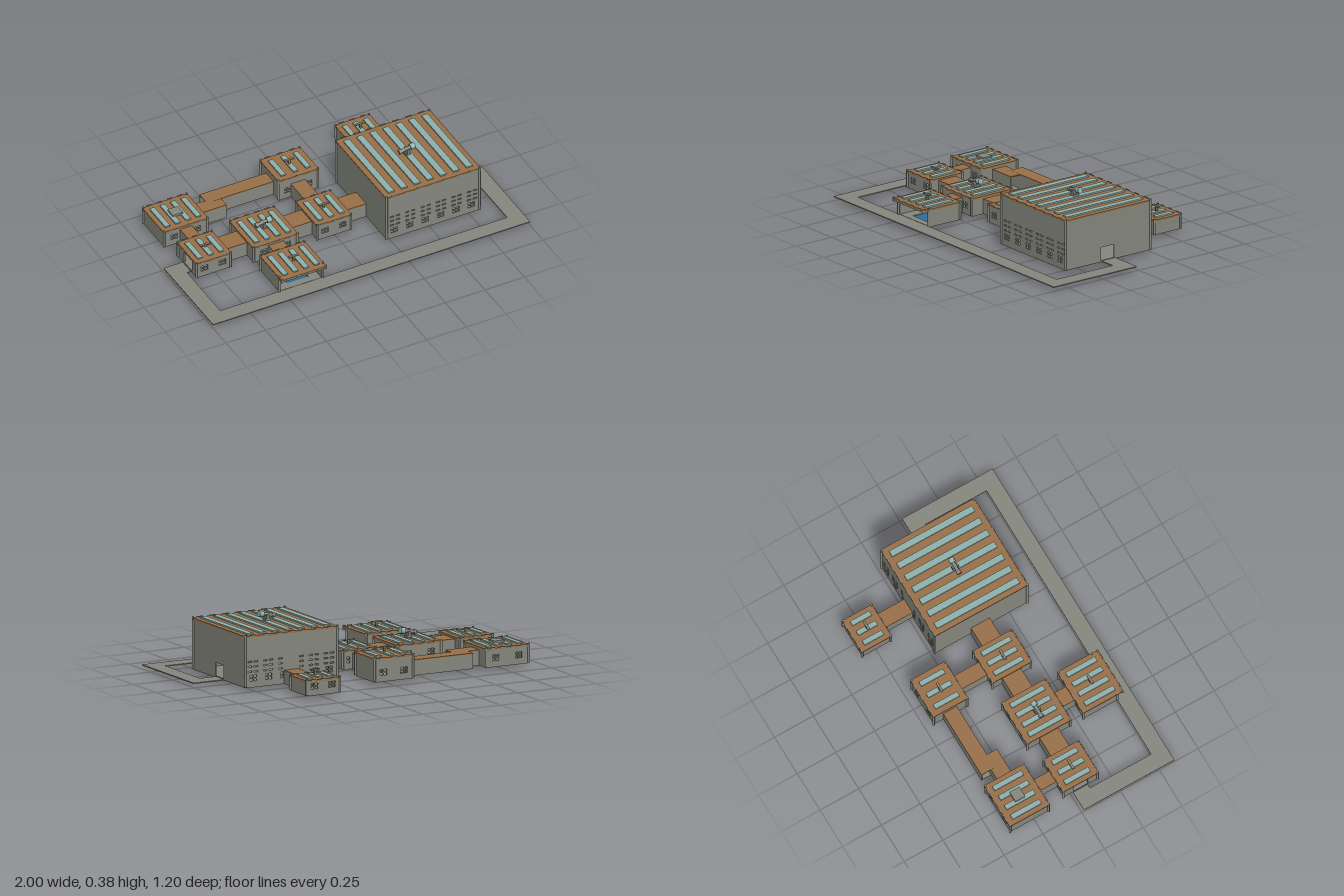
import * as THREE from 'three';

const mat = (color) => new THREE.MeshStandardMaterial({ color, side: THREE.DoubleSide });
const GREY = mat(0x878980), BROWN = mat(0x9a7049), TEAL = mat(0x8fb2b0), BLUE = mat(0x2f6f9a);
const BASE = 0.025, T = 0.008;

function add(parent, name, geo, material, x = 0, y = 0, z = 0) {
  const m = new THREE.Mesh(geo, material);
  m.name = name;
  m.position.set(x, y, z);
  parent.add(m);
  return m;
}

// box given by its limits
function box(parent, name, material, x0, x1, y0, y1, z0, z1) {
  return add(parent, name, new THREE.BoxGeometry(x1 - x0, y1 - y0, z1 - z0), material,
    (x0 + x1) / 2, (y0 + y1) / 2, (z0 + z1) / 2);
}

// upright wall with rectangular holes [a0, a1, y0, y1], drawn along the x axis
function wallGeo(a0, a1, y0, y1, holes) {
  const rect = (C, [l, r, b, t]) => {
    const s = new C();
    s.moveTo(l, b); s.lineTo(r, b); s.lineTo(r, t); s.lineTo(l, t); s.closePath();
    return s;
  };
  const shape = rect(THREE.Shape, [a0, a1, y0, y1]);
  holes.forEach((h) => shape.holes.push(rect(THREE.Path, h)));
  return new THREE.ExtrudeGeometry(shape, { depth: T, bevelEnabled: false });
}

// openings of a front or back wall: framed window pairs below, slits above on tall walls
function windows(x0, x1, h, count, door) {
  const holes = [], w = x1 - x0;
  for (let i = 0; i < count; i++) {
    const c = count === 2 ? (x0 + x1) / 2 + (i - 0.5) * w * 0.54 : x0 + (w * (i + 0.5)) / count;
    for (const s of [-1, 1]) {
      const x = c + s * 0.012;
      holes.push([x - 0.009, x + 0.009, 0.056, 0.070], [x - 0.009, x + 0.009, 0.076, 0.09]);
    }
    if (h > 0.2) for (const y of [0.106, 0.135, 0.163]) holes.push([c - 0.028, c - 0.004, y, y + 0.008], [c + 0.01, c + 0.034, y, y + 0.008]);
  }
  const free = door ? holes.filter((q) => q[1] < door[0] - 0.004 || q[0] > door[1] + 0.004) : holes;
  return door ? [...free, [door[0], door[1], BASE + 0.004, 0.092]] : free;
}

// hall with thin walls, striped roof and corner posts; doors are ranges per side
function building(root, { name, x0, x1, z0, z1, h, strips, doors = {}, count = 2, openFront = false, wallZ = z1 }) {
  const g = new THREE.Group();
  g.name = name;
  root.add(g);
  const top = h - 0.012, i = 0.006;
  const [a, b, c, d] = [x0 + i, x1 - i, z0 + i, wallZ - i];
  if (!openFront) {
    box(g, 'floor', GREY, a, b, 0.02, BASE + 0.002, c, d);
    add(g, 'frontWall', wallGeo(a, b, BASE, top, windows(a, b, h, count, doors.front)), GREY, 0, 0, d - T);
  }
  add(g, 'backWall', wallGeo(a, b, BASE, top, windows(a, b, h, count, doors.back)), GREY, 0, 0, c);
  for (const [side, x] of [['left', b - T], ['right', a]]) {
    const door = doors[side];
    const holes = door ? [[-door[1], -door[0], BASE + 0.004, 0.105]] : [];
    const w = add(g, side + 'Wall', wallGeo(-d, -c, BASE, top, holes), GREY, x);
    w.rotation.y = Math.PI / 2;
  }
  // roof
  box(g, 'roofEdge', GREY, x0 + 0.003, x1 - 0.003, top - 0.008, top, z0 + 0.003, z1 - 0.003);
  box(g, 'roof', BROWN, x0, x1, top, h - 0.003, z0, z1);
  const pitch = (x1 - x0 - 0.02) / strips, inset = 0.035;
  for (let k = 0; k < strips; k++) {
    const x = x0 + 0.01 + (k + 0.5) * pitch, w = strips > 4 ? 0.019 : 0.015;
    box(g, 'roofPanel', TEAL, x - w, x + w, h - 0.004, h + 0.005, z0 + inset, z1 - inset);
    for (const z of [z0, z1]) box(g, 'eaveBracket', GREY, x - w, x + w, h - 0.006, h + 0.001, z - 0.003, z + 0.003);
  }
  // corner posts
  for (const x of [x0 + 0.004, x1 - 0.004]) {
    for (const z of [z0 + 0.004, wallZ - 0.004])
      add(g, 'cornerPost', new THREE.CylinderGeometry(0.007, 0.007, h - BASE + 0.003, 8), GREY, x, (h + BASE + 0.003) / 2, z);
    if (wallZ < z1) add(g, 'eaveKnob', new THREE.CylinderGeometry(0.007, 0.007, 0.024, 8), GREY, x, h - 0.009, z1 - 0.004);
  }
  return g;
}

// covered walkway, hollow; alongX tells which sides carry walls
function corridor(root, x0, x1, z0, z1, alongX, h = 0.11) {
  const g = new THREE.Group();
  g.name = 'corridor';
  root.add(g);
  box(g, 'corridorFloor', GREY, x0, x1, 0.02, BASE + 0.002, z0, z1);
  box(g, 'corridorRoof', BROWN, x0, x1, h - 0.006, h, z0, z1);
  for (const s of [0, 1]) {
    if (alongX) box(g, 'corridorWall', GREY, x0, x1, BASE, h - 0.006, s ? z1 - T : z0, s ? z1 : z0 + T);
    else box(g, 'corridorWall', GREY, s ? x1 - T : x0, s ? x1 : x0 + T, BASE, h - 0.006, z0, z1);
  }
}

// thin mast with a crossbar
function mast(root, x, y, z, h) {
  box(root, 'mast', BROWN, x - 0.006, x + 0.006, y, y + h, z - 0.006, z + 0.006);
  box(root, 'mastBar', GREY, x - 0.03, x + 0.03, y + h - 0.006, y + h, z - 0.007, z + 0.007);
}

// tilted roof telescope on a stand
function telescope(root, x, y, z) {
  const g = new THREE.Group();
  g.name = 'telescope';
  g.position.set(x, y, z);
  root.add(g);
  box(g, 'stand', GREY, -0.015, 0.015, 0, 0.012, -0.018, 0.018);
  box(g, 'yoke', GREY, -0.007, 0.007, 0.01, 0.036, -0.02, 0.02);
  const tube = new THREE.Group();
  tube.position.y = 0.034;
  tube.rotation.z = 0.17;
  g.add(tube);
  for (const [name, r, x0, x1, m] of [['tube', 0.010, -0.045, 0.03, GREY], ['hood', 0.018, 0.022, 0.05, TEAL], ['eyepiece', 0.015, -0.05, -0.036, GREY]])
    add(tube, name, new THREE.CylinderGeometry(r, r, x1 - x0, 8), m, (x0 + x1) / 2).rotation.z = Math.PI / 2;
}

export function createModel() {
  const root = new THREE.Group();
  root.name = 'compound';
  const main = [0.02, 0.112];

  building(root, { name: 'greatHall', x0: 0.215, x1: 0.81, z0: -0.237, z1: 0.367, h: 0.318, strips: 7, count: 6, doors: { left: main, right: main, back: [0.48, 0.55] } });
  building(root, { name: 'backHall', x0: -0.145, x1: 0.11, z0: -0.457, z1: -0.232, h: 0.16, strips: 3, doors: { right: [-0.38, -0.31], front: [-0.055, 0.015] } });
  building(root, { name: 'rearAnnex', x0: 0.403, x1: 0.622, z0: -0.597, z1: -0.403, h: 0.112, strips: 3, doors: { front: [0.48, 0.55] } });
  building(root, { name: 'middleHall', x0: -0.128, x1: 0.093, z0: -0.065, z1: 0.19, h: 0.13, strips: 3, doors: { left: main, right: main, back: [-0.055, 0.015] } });
  building(root, { name: 'centralHall', x0: -0.537, x1: -0.253, z0: -0.082, z1: 0.204, h: 0.13, strips: 4, doors: { left: main, right: main, front: [-0.43, -0.355] } });
  building(root, { name: 'sideHall', x0: -0.882, x1: -0.66, z0: -0.052, z1: 0.178, h: 0.125, strips: 3, doors: { left: main, right: main, back: [-0.795, -0.74] } });
  building(root, { name: 'cornerHall', x0: -0.91, x1: -0.628, z0: -0.412, z1: -0.155, h: 0.132, strips: 4, doors: { left: [-0.32, -0.245], front: [-0.795, -0.74] } });

  // open-fronted bath house with a sunken pool
  const bath = building(root, { name: 'bathHouse', x0: -0.537, x1: -0.253, z0: 0.28, z1: 0.54, wallZ: 0.508, h: 0.13, strips: 4, openFront: true, doors: { back: [-0.43, -0.355] } });
  box(bath, 'floorRight', GREY, -0.531, -0.46, 0.02, 0.027, 0.286, 0.502);
  box(bath, 'floorLeft', GREY, -0.325, -0.259, 0.02, 0.027, 0.286, 0.502);
  box(bath, 'floorBack', GREY, -0.46, -0.325, 0.02, 0.027, 0.286, 0.36);
  box(bath, 'floorFront', GREY, -0.46, -0.325, 0.02, 0.027, 0.46, 0.502);
  box(bath, 'poolBasin', GREY, -0.462, -0.323, 0.01, 0.0195, 0.357, 0.463);
  box(bath, 'poolBottom', GREY, -0.45, -0.335, 0, 0.01, 0.367, 0.453);
  box(bath, 'water', BLUE, -0.458, -0.327, 0.0195, 0.024, 0.361, 0.459);

  // walkways between the halls
  for (const [a, b] of [[-0.665, -0.532], [-0.258, -0.123], [0.088, 0.22]]) corridor(root, a, b, 0, 0.12, true);
  corridor(root, -0.805, -0.73, -0.16, -0.047, false);
  corridor(root, -0.065, 0.025, -0.237, -0.06, false);
  corridor(root, -0.44, -0.345, 0.199, 0.285, false);
  corridor(root, 0.468, 0.56, -0.408, -0.232, false, 0.098);
  corridor(root, -0.56, -0.14, -0.39, -0.302, true);
  corridor(root, -0.633, -0.47, -0.328, -0.237, true, 0.1095);

  // roof equipment
  telescope(root, 0.505, 0.322, 0.065);
  telescope(root, -0.4, 0.134, 0.065);
  for (const [x, y, z, h] of [[-0.02, 0.16, -0.343, 0.036], [-0.02, 0.13, 0.065, 0.03], [-0.768, 0.125, 0.065, 0.022], [-0.393, 0.13, 0.41, 0.035], [0.515, 0.112, -0.5, 0.038]])
    mast(root, x, y, z, h);
  box(root, 'roofHatch', GREY, -0.803, -0.737, 0.132, 0.146, -0.313, -0.25);

  // path around the front
  const path = new THREE.Shape();
  [[-1, 0.013], [-0.88, 0.013], [-0.88, 0.108], [-0.905, 0.108], [-0.905, 0.503], [0.905, 0.503], [0.905, 0.108],
    [0.805, 0.108], [0.805, 0.013], [1, 0.013], [1, 0.597], [-1, 0.597]]
    .forEach(([x, z], k) => (k ? path.lineTo(x, z) : path.moveTo(x, z)));
  const road = add(root, 'path', new THREE.ExtrudeGeometry(path, { depth: 0.006, bevelEnabled: false }), GREY, 0, 0.026, 0);
  road.rotation.x = Math.PI / 2;
  return root;
}
